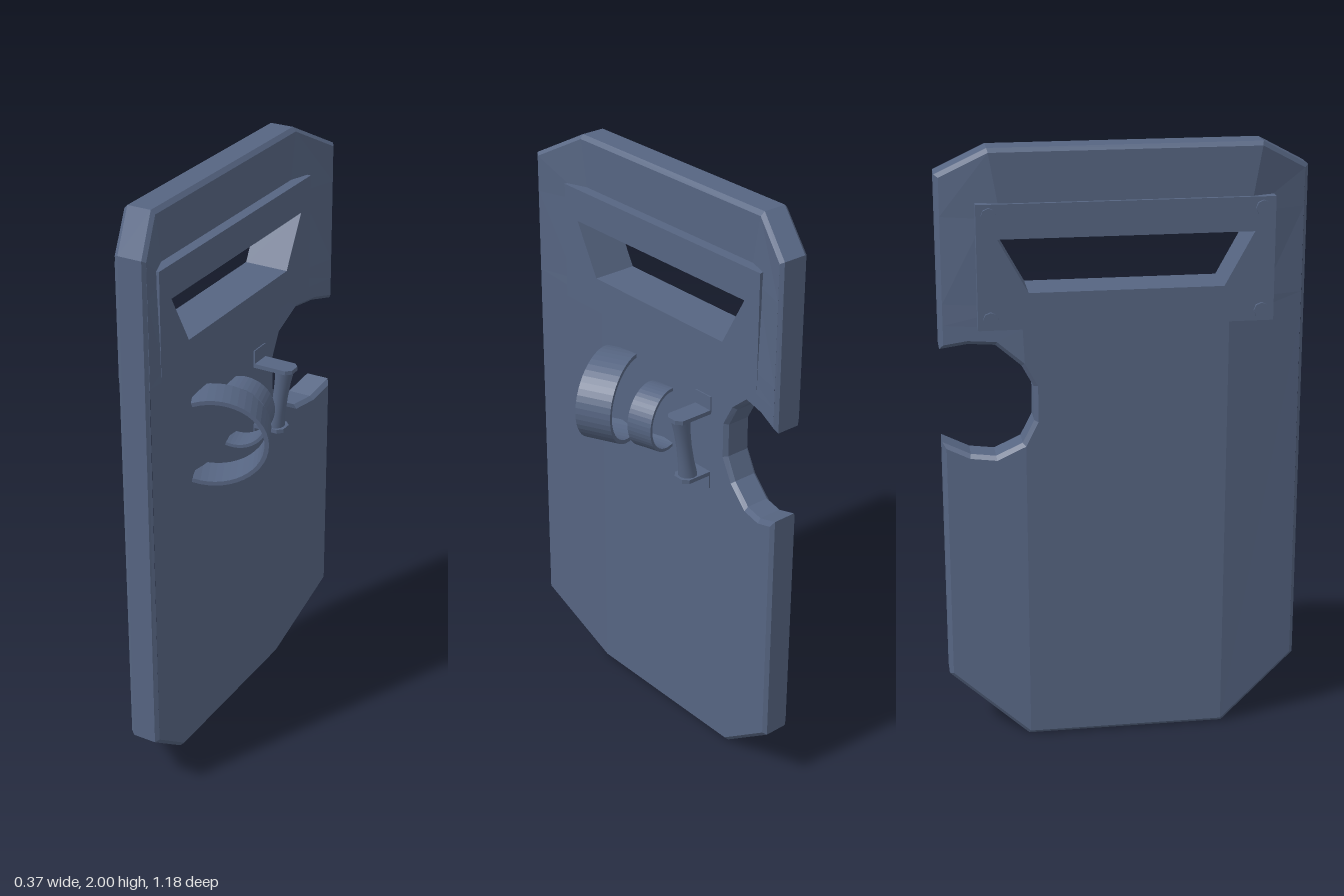
import * as THREE from 'three';

const steel = new THREE.MeshStandardMaterial({ color: 0x566582 });
steel.name = 'slate blue';

function add(parent, name, geometry, x = 0, y = 0, z = 0) {
  const mesh = new THREE.Mesh(geometry, steel);
  mesh.name = name;
  mesh.position.set(x, y, z);
  parent.add(mesh);
  return mesh;
}

// Outline of the plate as [z, y], counter-clockwise, with the arm notch on the -z side
const OUTLINE = [
  [-0.33, 0], [0.33, 0], [0.59, 0.21], [0.59, 1.91], [0.43, 2], [-0.43, 2], [-0.59, 1.91],
  [-0.59, 1.35], [-0.5, 1.37], [-0.415, 1.37], [-0.335, 1.305], [-0.297, 1.235], [-0.297, 1.12],
  [-0.335, 1.045], [-0.42, 0.997], [-0.5, 1.0], [-0.59, 1.037], [-0.59, 0.21],
];
const THICK = 0.107, BEVEL = 0.013;

// Where the side wings start to fold, and how far they fold towards +x
const foldZ = (y) => 0.33 + 0.1 * THREE.MathUtils.clamp((y - 1.43) / 0.57, 0, 1);
const foldX = (z, y) => {
  const b = foldZ(y);
  return -0.163 + 0.067 * Math.max(0, (Math.abs(z) - b) / (0.59 - b));
};

// Mitred inset of a closed loop
function inset(loop, d) {
  const n = loop.length;
  return loop.map(([z, y], i) => {
    const p = loop[(i + n - 1) % n], q = loop[(i + 1) % n];
    const a = new THREE.Vector2(z - p[0], y - p[1]).normalize();
    const b = new THREE.Vector2(q[0] - z, q[1] - y).normalize();
    const k = d / (1 + a.dot(b));
    return [z - (a.y + b.y) * k, y + (a.x + b.x) * k];
  });
}

function plateGeometry() {
  const pos = [];
  const vert = ([z, y], dx) => pos.push(foldX(z, y) + dx, y, z);
  const inner = inset(OUTLINE, BEVEL);

  // Bevelled rim
  const layers = [[inner, 0], [OUTLINE, BEVEL], [OUTLINE, THICK - BEVEL], [inner, THICK]];
  for (let l = 0; l < 3; l++) {
    const [A, xa] = layers[l], [B, xb] = layers[l + 1];
    for (let i = 0; i < A.length; i++) {
      const j = (i + 1) % A.length;
      vert(A[i], xa); vert(B[i], xb); vert(B[j], xb);
      vert(A[i], xa); vert(B[j], xb); vert(A[j], xa);
    }
  }

  // Faces: centre and wings, leaving an opening behind the window frame
  const I = (...ids) => ids.map((i) => inner[i]);
  const fold = (s, y) => [s * foldZ(y), y];
  const lo = 1.5, hi = 1.78, w = 0.44, e = 0.59 - BEVEL;
  const panels = [
    [...I(0, 1), fold(1, 1.43), fold(1, lo), fold(-1, lo), fold(-1, 1.43), ...I(10, 11, 12, 13)],
    [fold(-1, hi), fold(1, hi), ...I(4, 5)],
    [...I(1, 2), [e, 1.43], fold(1, 1.43)],
    [...I(7, 8, 9, 10), fold(-1, 1.43), [-e, 1.43]],
    I(0, 13, 14, 15, 16, 17),
  ];
  for (const [s, corner, top] of [[1, 3, 4], [-1, 6, 5]]) {
    panels.push(
      [fold(s, 1.43), [s * e, 1.43], [s * e, lo], [s * w, lo], fold(s, lo)],
      [[s * w, lo], [s * e, lo], [s * e, hi], [s * w, hi]],
      [fold(s, hi), [s * w, hi], [s * e, hi], ...I(corner, top)]);
  }
  for (const panel of panels) {
    const pts = panel.map(([z, y]) => new THREE.Vector2(z, y));
    for (const tri of THREE.ShapeUtils.triangulateShape(pts, [])) {
      let [a, b, c] = tri.map((i) => panel[i]);
      const area = (b[0] - a[0]) * (c[1] - a[1]) - (b[1] - a[1]) * (c[0] - a[0]);
      if (area < 0) [b, c] = [c, b];
      vert(a, 0); vert(b, 0); vert(c, 0);
      vert(a, THICK); vert(c, THICK); vert(b, THICK);
    }
  }
  const g = new THREE.BufferGeometry();
  g.setAttribute('position', new THREE.Float32BufferAttribute(pos, 3));
  g.computeVertexNormals();
  return g;
}

// Polygon in (z, y) with a hole wound the other way, extruded along x from x0 to x1
function slab(points, hole, x0, x1) {
  const toV = ([z, y]) => new THREE.Vector2(-z, y);
  const shape = new THREE.Shape(points.map(toV));
  shape.holes.push(new THREE.Path(hole.map(toV)));
  const g = new THREE.ExtrudeGeometry(shape, { depth: x1 - x0, bevelEnabled: false });
  return g.rotateY(Math.PI / 2).translate(x0, 0, 0);
}

// Curved strap: an elliptical arc in the (x, y) plane, extruded sideways
function strap(rx, ry, thick, width, reach) {
  const s = new THREE.Shape();
  s.absellipse(0, 0, rx, ry, -reach, reach, false);
  s.absellipse(0, 0, rx - thick, ry - thick, reach, -reach, true);
  return new THREE.ExtrudeGeometry(s, { depth: width, bevelEnabled: false, curveSegments: 14 })
    .translate(0, 0, -width / 2);
}

// Grip bracket: a tab with clipped corners reaching out to x = end
function bracket(end) {
  const tab = new THREE.Shape([[-0.06, -0.036], [end - 0.018, -0.036], [end, -0.018], [end, 0.018],
    [end - 0.018, 0.036], [-0.06, 0.036]].map(([x, z]) => new THREE.Vector2(x, z)));
  return new THREE.ExtrudeGeometry(tab, { depth: 0.014, bevelEnabled: false })
    .rotateX(-Math.PI / 2).translate(0, -0.007, 0);
}

export function createModel() {
  const group = new THREE.Group();
  group.name = 'shield';
  add(group, 'plate', plateGeometry());

  // Window frame with a trapezoid view slot
  add(group, 'windowFrame', slab(
    [[-0.47, 1.43], [0.47, 1.43], [0.47, 1.83], [-0.47, 1.83]],
    [[-0.405, 1.72], [0.405, 1.72], [0.31, 1.547], [-0.31, 1.547]], -0.175, -0.02));
  for (const z of [-0.43, 0.43]) {
    for (const y of [1.465, 1.795]) {
      add(group, 'frameBolt', new THREE.CylinderGeometry(0.025, 0.025, 0.02, 8).rotateZ(Math.PI / 2), -0.174, y, z);
    }
  }

  // Arm straps
  add(group, 'forearmStrap', strap(0.18, 0.152, 0.014, 0.126, 1.95), -0.004, 1.17, 0.193).rotation.y = 0.45;
  add(group, 'wristStrap', strap(0.11, 0.11, 0.011, 0.09, 1.92), -0.023, 1.16, -0.001).rotation.y = 0.28;

  // Hand grip: waisted bar leaning between a long upper and a short lower bracket
  const grip = new THREE.Group();
  grip.name = 'handGrip';
  grip.position.set(0, 1.143, -0.19);
  group.add(grip);
  const bar = [[0.032, -0.113], [0.027, -0.06], [0.025, 0], [0.027, 0.06], [0.032, 0.113]];
  add(grip, 'gripBar', new THREE.LatheGeometry(bar.map(([r, y]) => new THREE.Vector2(r, y)), 12), 0.026)
    .rotation.z = -0.15;
  for (const [s, end] of [[-1, 0.05], [1, 0.08]]) {
    add(grip, 'gripBracket', bracket(end), 0, s * 0.113);
    add(grip, 'gripFlange', new THREE.BoxGeometry(0.006, 0.055, 0.072), -0.055, s * 0.14);
  }
  return group;
}
